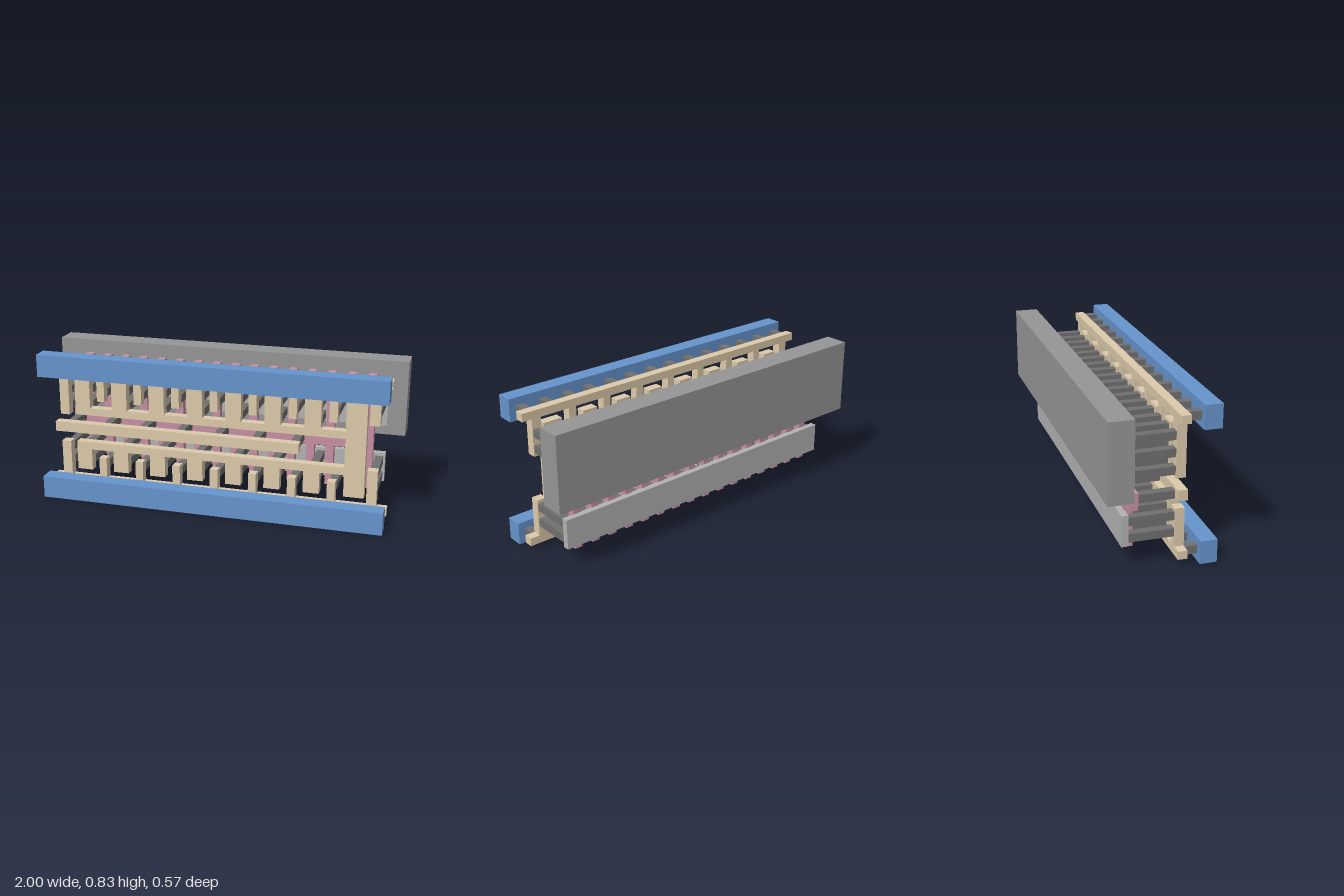
import * as THREE from 'three';

const material = (color) => new THREE.MeshStandardMaterial({ color });

export function createModel() {
  const model = new THREE.Group();
  const blue = material(0x6694cc);
  const tan = material(0xdccaab);
  const pink = material(0xc78fa3);
  const dark = material(0x707070);
  const midGrey = material(0x959595);
  const lightGrey = material(0xb2b2b2);

  // Axis-aligned block given by its extents
  function block(name, mat, x0, x1, y0, y1, z0, z1) {
    const mesh = new THREE.Mesh(new THREE.BoxGeometry(x1 - x0, y1 - y0, z1 - z0), mat);
    mesh.position.set((x0 + x1) / 2, (y0 + y1) / 2, (z0 + z1) / 2);
    mesh.name = name;
    model.add(mesh);
  }

  // Tan wiring layer and horizontal pins share fixed depths
  const wire = (name, x0, x1, y0, y1) => block(name, tan, x0, x1, y0, y1, 0.083, 0.133);
  const finger = (name, x, w, y0, y1) => wire(name, x - w / 2, x + w / 2, y0, y1);
  const pin = (name, x, y, z0, z1) =>
    block(name, dark, x - 0.022, x + 0.022, y - 0.022, y + 0.022, z0, z1);

  const pitch = 0.1085;

  // Back slabs
  block('backSlab', midGrey, -1, 1, 0.4, 0.815, -0.287, -0.157);
  block('upperPlate', lightGrey, -0.9, 0.9, 0.45, 0.705, -0.188, -0.153);
  block('lowerPlate', lightGrey, -0.9, 0.9, 0.125, 0.29, -0.188, -0.153);

  // Pink comb: cross strip and sixteen uprights
  block('crossStrip', pink, -0.92, 0.83, 0.32, 0.41, -0.157, -0.112);
  for (let i = -8; i < 8; i++) {
    const x = (i + 0.5) * pitch;
    block('upright', pink, x - 0.022, x + 0.022, 0.09, 0.74, -0.157, -0.112);
  }

  // Front rails, the thin rails behind them, and connecting pins
  for (const [y, railY] of [[0, 0.063], [0.705, 0.766]]) {
    block('frontRail', blue, -0.95, 0.95, y, y + 0.124, 0.198, 0.288);
    wire('thinRail', -0.95, 0.95, railY - 0.022, railY + 0.022);
    for (let i = 0; i < 14; i++) pin('railPin', -0.89 + i * 0.137, railY, 0.133, 0.198);
  }

  // Horizontal wires and the column joining them
  wire('upperBar', -0.803, 0.72, 0.455, 0.497);
  wire('middleBar', -0.93, 0.47, 0.345, 0.402);
  wire('lowerBar', -0.803, 0.72, 0.252, 0.295);
  wire('joiningColumn', 0.718, 0.828, 0.13, 0.705);

  // Alternating fingers, with long pins running back to the plates
  for (let i = -8; i <= 8; i++) {
    const x = i * pitch;
    const odd = i % 2 !== 0;
    const outer = Math.abs(i) === 8;
    const rows = [0.668, 0.581, 0.162];
    if (odd) {
      if (i !== 7) {
        finger('barFinger', x, 0.088, 0.497, 0.705);
        finger('barFinger', x, 0.088, 0.13, 0.252);
      }
      rows.push(0.49, 0.25);
    } else {
      const w = outer ? 0.054 : 0.044;
      finger('railFinger', x, w, i === -8 ? 0.45 : 0.54, 0.744);
      finger('railFinger', x, w, 0.085, outer ? 0.29 : 0.205);
      if (outer) rows.push(0.25);
      if (i === -8) rows.push(0.49);
    }
    for (const y of rows) pin('longPin', x, y, -0.155, 0.083);
  }

  // Pins from the middle bar through the cross strip
  for (let i = -8; i <= 4; i += 2) pin('stripPin', i * pitch, 0.364, -0.159, 0.083);

  return model;
}
